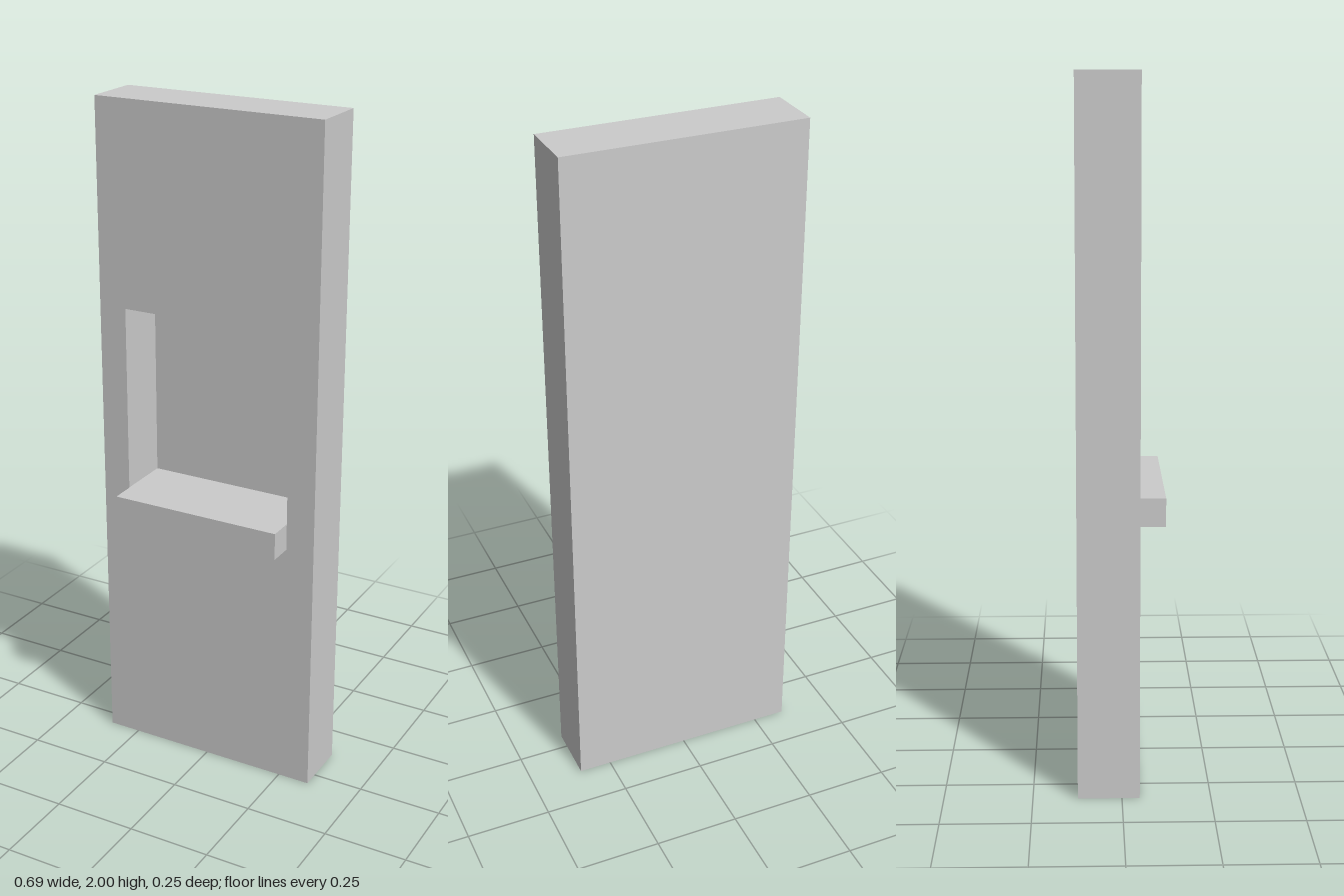
import * as THREE from 'three';

const material = new THREE.MeshStandardMaterial({ color: 0xcccccc });

// Box given by its limits on each axis
function boxBetween([x0, x1], [y0, y1], [z0, z1]) {
  return new THREE.BoxGeometry(x1 - x0, y1 - y0, z1 - z0)
    .translate((x0 + x1) / 2, (y0 + y1) / 2, (z0 + z1) / 2);
}

// Box without its +z face; inward turns the faces to look inside
function openBox(xs, ys, zs, inward = false) {
  const g = boxBetween(xs, ys, zs);
  const index = Array.from(g.index.array);
  index.splice(24, 6);
  if (inward) {
    index.reverse();
    const n = g.attributes.normal;
    for (let i = 0; i < n.count; i++) n.setXYZ(i, -n.getX(i), -n.getY(i), -n.getZ(i));
  }
  g.clearGroups();
  g.setIndex(index);
  return g;
}

function outline(Type, [x0, x1], [y0, y1]) {
  return new Type([[x0, y0], [x1, y0], [x1, y1], [x0, y1]].map(p => new THREE.Vector2(...p)));
}

export function createModel() {
  const group = new THREE.Group();
  group.name = 'panelWithNiche';
  const add = (name, geometry) => {
    const mesh = new THREE.Mesh(geometry, material);
    mesh.name = name;
    group.add(mesh);
  };

  const panelX = [-0.347, 0.347], panelY = [0, 2], panelZ = [-0.124, 0.05];
  const nicheX = [-0.263, 0.261], nicheY = [0.846, 1.403], nicheZ = [-0.113, 0.05];

  // Tall slab: sides, back, top and bottom
  add('panelBody', openBox(panelX, panelY, panelZ));

  // Front face with the niche opening
  const front = outline(THREE.Shape, panelX, panelY);
  front.holes.push(outline(THREE.Path, nicheX, nicheY));
  add('panelFront', new THREE.ShapeGeometry(front).translate(0, 0, panelZ[1]));

  // Recess walls, floor and back
  add('niche', openBox(nicheX, nicheY, nicheZ, true));

  // Ledge projecting level with the niche floor
  add('shelf', boxBetween([-0.262, 0.261], [0.765, 0.846], [0.05, 0.124]));

  return group;
}
